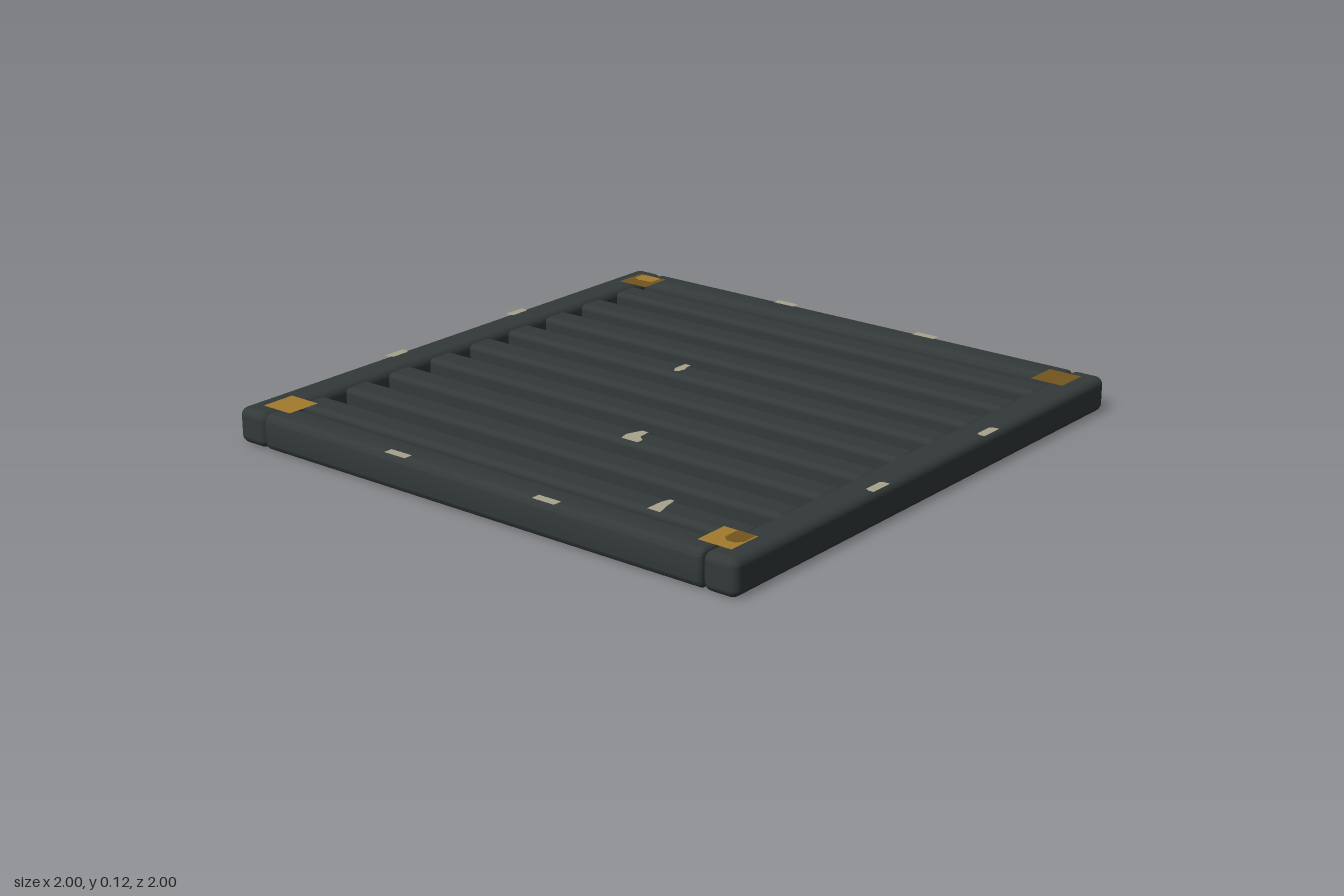
import * as THREE from 'three';
import { RoundedBoxGeometry } from 'three/addons/geometries/RoundedBoxGeometry.js';
import { toCreasedNormals } from 'three/addons/utils/BufferGeometryUtils.js';

const paint = (name, color) => {
  const m = new THREE.MeshStandardMaterial({ color, side: THREE.DoubleSide });
  m.name = name;
  return m;
};

// bar along z with a rounded section and tighter rounding at its ends
function sideBarGeometry(width, length, radius, bevel) {
  const h = width / 2 - bevel;
  const r = radius - bevel;
  const s = new THREE.Shape();
  s.absarc(h - r, h - r, r, 0, Math.PI / 2);
  s.absarc(-h + r, h - r, r, Math.PI / 2, Math.PI);
  s.absarc(-h + r, -h + r, r, Math.PI, Math.PI * 1.5);
  s.absarc(h - r, -h + r, r, Math.PI * 1.5, Math.PI * 2);
  const geometry = new THREE.ExtrudeGeometry(s, {
    depth: length - 2 * bevel, bevelThickness: bevel, bevelSize: bevel, bevelSegments: 3, curveSegments: 5,
  });
  geometry.translate(0, 0, bevel - length / 2);
  return toCreasedNormals(geometry, 0.7);
}

export function createModel() {
  const steel = paint('dark steel', 0x333939);
  const ochre = paint('ochre', 0xa27a2d);
  const brown = paint('brown ochre', 0x73551f);
  const beige = paint('worn beige', 0xa8a28c);
  const model = new THREE.Group();
  model.name = 'ribbedPanel';

  const add = (name, geometry, material, x = 0, y = 0, z = 0) => {
    const mesh = new THREE.Mesh(geometry, material);
    mesh.name = name;
    mesh.position.set(x, y, z);
    model.add(mesh);
  };
  // flat patch lying level, outline given as [x, z] points
  const patch = (name, points, y, material) => {
    const shape = new THREE.Shape(points.map(([x, z]) => new THREE.Vector2(x, -z)));
    add(name, new THREE.ShapeGeometry(shape).rotateX(-Math.PI / 2), material, 0, y, 0);
  };
  const rect = (x0, x1, z0, z1) => [[x0, z0], [x1, z0], [x1, z1], [x0, z1]];

  // frame: two long bars with two shorter ones between them
  const longBar = new RoundedBoxGeometry(2, 0.12, 0.12, 4, 0.028);
  const shortBar = sideBarGeometry(0.12, 1.76, 0.028, 0.012);
  for (const s of [-1, 1]) {
    add(s > 0 ? 'frontBar' : 'backBar', longBar, steel, 0, 0.06, s * 0.94);
    add(s > 0 ? 'leftBar' : 'rightBar', shortBar, steel, s * 0.94, 0.06, 0);
  }

  // ribbed sheet: base plate and nine broad ribs
  add('basePlate', new THREE.BoxGeometry(1.8, 0.016, 1.8), steel, 0, 0.024, 0);
  const ribTop = 0.112;
  const rib = new RoundedBoxGeometry(0.106, 0.09, 1.78, 4, 0.02);
  for (let i = -4; i <= 4; i++) add('rib', rib, steel, i * 0.1955 - 0.003, ribTop - 0.045, 0);

  // paint chips along the outer top edges
  for (const s of [-1, 1]) {
    for (const t of [-0.3, 0.3]) {
      patch('edgeChip', [[t - 0.043, s], [t + 0.043, s], [t + 0.042, s * 0.98],
        [t + 0.034, s * 0.968], [t - 0.034, s * 0.968], [t - 0.042, s * 0.98]], 0.1215, beige);
      patch('edgeChip', rect(s, s * 0.968, t - 0.043, t + 0.043), 0.1215, beige);
    }
  }

  // worn spots on the ribs, overhanging their rounded left edges
  const chipY = ribTop + 0.0003;
  patch('ribChip', [[-0.435, 0.185], [-0.435, 0.12], [-0.4, 0.11], [-0.345, 0.13],
    [-0.345, 0.155], [-0.39, 0.16], [-0.41, 0.185]], chipY, beige);
  patch('ribChip', [[0.165, -0.155], [0.19, -0.172], [0.245, -0.172], [0.245, -0.148],
    [0.22, -0.145], [0.2, -0.137], [0.175, -0.142]], chipY, beige);
  patch('ribChip', [[-0.835, 0.553], [-0.77, 0.553], [-0.74, 0.562], [-0.74, 0.578],
    [-0.79, 0.588], [-0.835, 0.602]], chipY, beige);

  // corner markings, two of them with a spot of the other tone
  for (const sx of [-1, 1]) {
    for (const sz of [-1, 1]) {
      patch('cornerMark', rect(sx * 0.82, sx * 0.942, sz * 0.822, sz * 0.942), 0.1215, sx < 0 ? ochre : brown);
    }
  }
  patch('cornerSpot', [[0.875, -0.9], [0.89, -0.925], [0.938, -0.925], [0.938, -0.85],
    [0.92, -0.84], [0.88, -0.845]], 0.123, ochre);
  patch('cornerSpot', [[-0.9, 0.89], [-0.88, 0.873], [-0.822, 0.873], [-0.822, 0.938],
    [-0.88, 0.938], [-0.9, 0.92]], 0.123, brown);

  return model;
}
